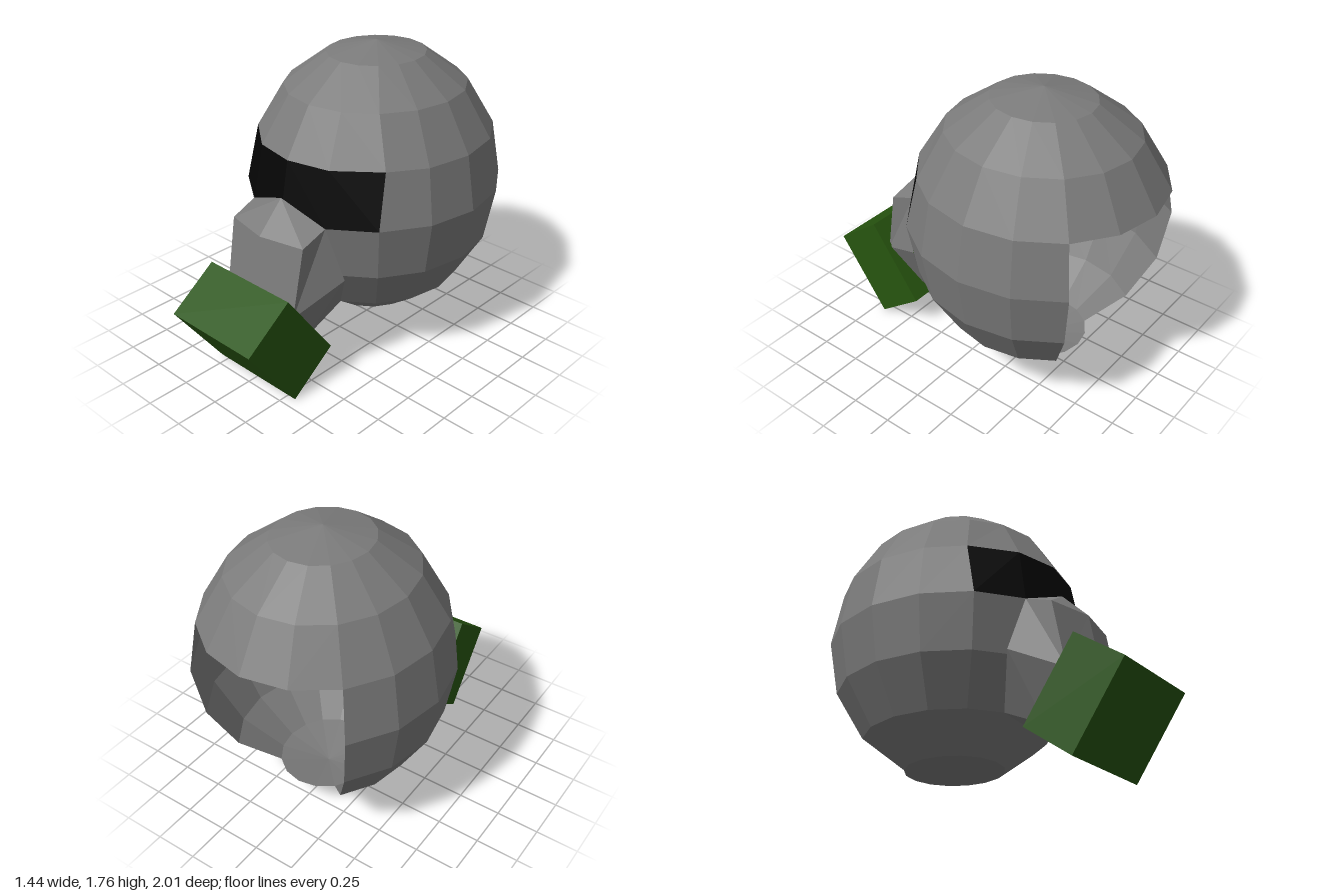
import * as THREE from 'three';

const STEP = Math.PI / 8;
const RADIUS = [0.72, 0.818, 0.765], CENTER = [0, 0.945, -0.3];
const VISOR_CORNER = [0.485, 1.26, 0.17];

// Ring 0 is the crown, ring 8 the bottom; column 0 faces the front, 8 the back
function shellPoint(ring, col) {
  if (ring === 3 && col === 2) return VISOR_CORNER;
  const s = Math.sin(ring * STEP);
  return [
    CENTER[0] + RADIUS[0] * s * Math.sin(col * STEP),
    CENTER[1] + RADIUS[1] * Math.cos(ring * STEP),
    CENTER[2] + RADIUS[2] * s * Math.cos(col * STEP),
  ];
}

// Builds a faceted mesh from the quads of its left half, mirrored across x
function mirroredMesh(name, quads, color) {
  const flip = ([x, y, z]) => [-x, y, z];
  const all = quads.flatMap((q) => {
    const [a, b, c, d] = q.map(flip);
    return [q, [a, d, c, b]];
  });
  const pos = all.flatMap(([a, b, c, d]) => [...a, ...b, ...c, ...a, ...c, ...d]);
  const geo = new THREE.BufferGeometry();
  geo.setAttribute('position', new THREE.Float32BufferAttribute(pos, 3));
  geo.computeVertexNormals();
  const mesh = new THREE.Mesh(geo, new THREE.MeshStandardMaterial({
    color, flatShading: true, side: THREE.DoubleSide,
  }));
  mesh.name = name;
  return mesh;
}

export function createModel() {
  const model = new THREE.Group();
  model.name = 'maskedHelmet';

  // Helmet shell, open at the back, with the visor band split off
  const shell = [], visor = [];
  for (let r = 0; r < 8; r++) {
    for (let c = 0; c < 8; c++) {
      if (c >= 6 && r >= 3 && r <= 6) continue;
      const quad = [shellPoint(r, c), shellPoint(r + 1, c), shellPoint(r + 1, c + 1), shellPoint(r, c + 1)];
      (r === 3 && c < 2 ? visor : shell).push(quad);
    }
  }
  model.add(mirroredMesh('helmetShell', shell, 0x7b7b7b));
  model.add(mirroredMesh('visor', visor, 0x050505));

  // Snout: lofted from an outline on the helmet to a smaller front outline
  const back = [[0, 1.055, 0.46], shellPoint(4, 1), [0.36, 0.635, 0.345], shellPoint(6, 1), [0, 0.32, 0.235]];
  const front = [[0, 0.885, 0.625], [0.27, 0.885, 0.568], [0.26, 0.49, 0.64], [0.18, 0.25, 0.45], [0, 0.25, 0.45]];
  const frontMid = [0, 0.52, 0.69];
  const snout = [];
  for (let i = 0; i < 4; i++) snout.push([back[i], front[i], front[i + 1], back[i + 1]]);
  snout.push([front[0], frontMid, front[2], front[1]], [frontMid, front[4], front[3], front[2]]);
  model.add(mirroredMesh('snout', snout, 0x7b7b7b));

  // Filter canister, tilted down at the end of the snout
  const filter = new THREE.Mesh(
    new THREE.BoxGeometry(0.61, 0.54, 0.354),
    new THREE.MeshStandardMaterial({ color: 0x27550f, flatShading: true }),
  );
  filter.name = 'filterBox';
  filter.position.set(0, 0.325, 0.7);
  filter.rotation.x = 0.63;
  model.add(filter);

  return model;
}
